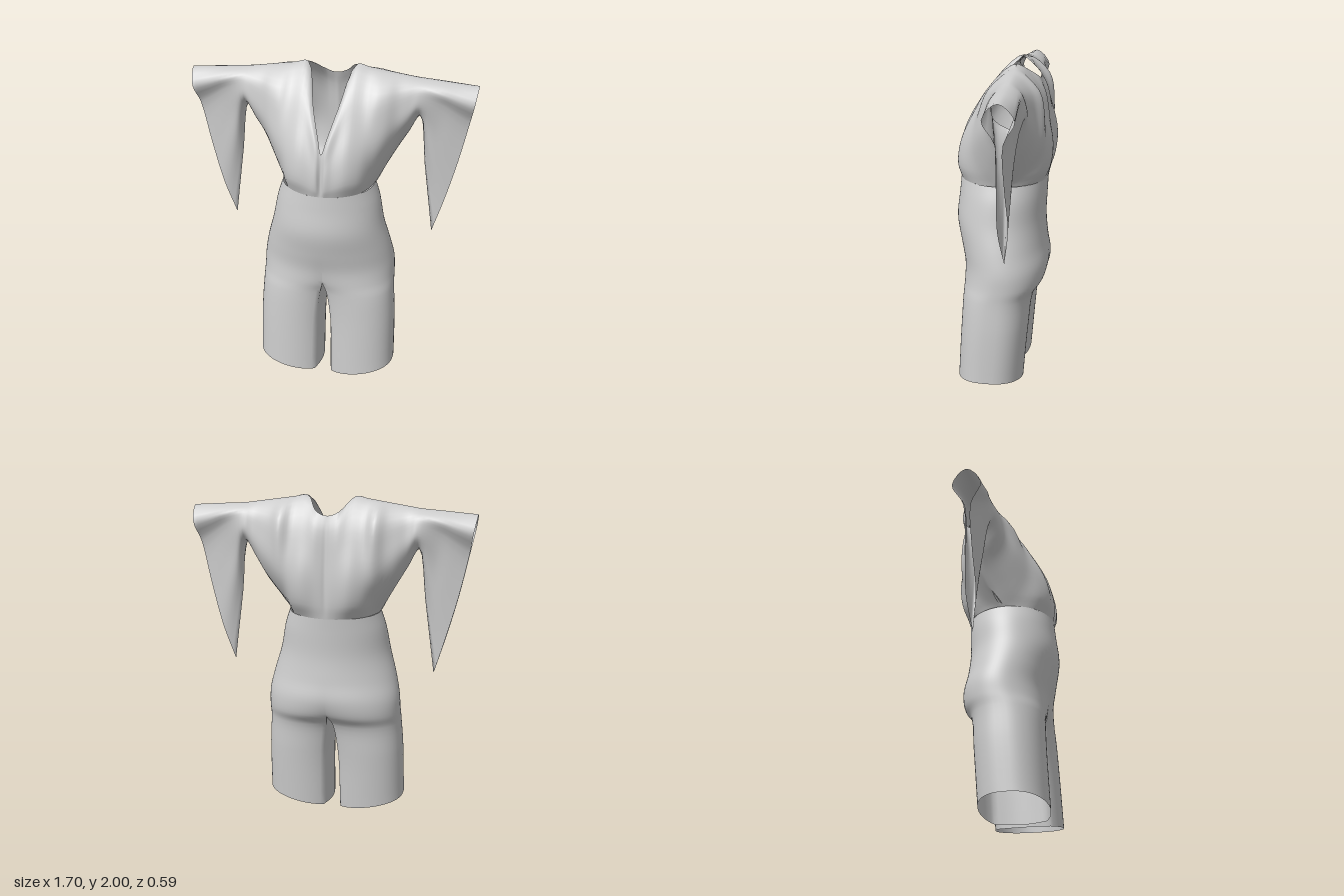
import * as THREE from 'three';
import { mergeGeometries, mergeVertices } from 'three/addons/utils/BufferGeometryUtils.js';

const V = (x, y, z) => new THREE.Vector3(x, y, z);
const lerp = THREE.MathUtils.lerp;

// Samples a smooth curve evenly between its control points
function smooth(points, perSegment) {
  const curve = new THREE.CatmullRomCurve3(points);
  const n = (points.length - 1) * perSegment;
  return Array.from({ length: n + 1 }, (_, i) => curve.getPoint(i / n));
}

// Surface through a list of sections that all have the same number of points
function loft(sections, perSegment) {
  const lines = sections[0].map((_, j) => smooth(sections.map(s => s[j]), perSegment));
  const rows = lines[0].length, cols = lines.length;
  const pos = [], idx = [];
  for (let i = 0; i < rows; i++) for (let j = 0; j < cols; j++) pos.push(...lines[j][i].toArray());
  for (let i = 0; i < rows - 1; i++) for (let j = 0; j < cols - 1; j++) {
    const a = i * cols + j, b = a + cols;
    idx.push(a, b, b + 1, a, b + 1, a + 1);
  }
  const g = new THREE.BufferGeometry();
  g.setAttribute('position', new THREE.Float32BufferAttribute(pos, 3));
  g.setIndex(idx);
  return g;
}

const flipX = p => V(-p.x, p.y, p.z);
const mirrorSections = sections => sections.map(s => s.map(flipX).reverse());

function sew(name, geometries, material) {
  const g = mergeVertices(mergeGeometries(geometries), 1e-4);
  g.computeVertexNormals();
  const mesh = new THREE.Mesh(g, material);
  mesh.name = name;
  return mesh;
}

// Neckline: x, front and back bulge, then edge height and depth at front and back
const NECK = [
  [0, .003, .025, 1.56, .24, 1.9, -.215],
  [.025, .035, .035, 1.64, .203, 1.903, -.213],
  [.07, .055, .055, 1.785, .115, 1.925, -.2],
];
// Shoulder to armpit: x, front and back bulge
const SHOULDER = [
  [.145, .125, .125], [.22, .125, .14], [.28, .18, .22], [.34, .17, .155],
  [.4, .14, .115], [.46, .118, .095], [.52, .1, .097],
];
// Bodice side profile: height and bulge fractions
const RISE = [0, .13, .35, .6, .85, 1];
const BULGE = [0, .6, 1, .97, .72, 0];
// Sleeve profile: height fractions, half depths near the arm and at the hem
const DRAPE = [0, .23, .5, .77, .905, 1];
const FOLD = [0, .06, .075, .088, .078, 0];
const CUFF = [0, .03, .02, .022, .087, 0];

// One side of the bodice at x, from its lower edge up to the given top edge
function panel(x, side, bulge, yTop, zTop) {
  const out = Math.max(0, x - .28);
  const yLow = 1.3 + 1.71 * out;
  const zLow = out > 0 ? -Math.min(.1, out) : side * .265 * Math.sqrt(1 - (x / .28) ** 2);
  return RISE.map((u, i) => V(x, lerp(yLow, yTop, u), lerp(zLow, zTop, u) + side * bulge * BULGE[i]));
}

// One side of the hanging sleeve, t = 0 at the armpit and 1 at the hem
function sleevePanel(t, side) {
  return DRAPE.map((u, i) => V(
    lerp(lerp(.52, .625, t), lerp(.52, .85, t), u) + .02 * t * Math.sin(Math.PI * u),
    lerp(lerp(1.71, .96, t), lerp(1.944, 1.92, t), u),
    -.088 + side * lerp(FOLD[i], CUFF[i], t)));
}

// Each section is a front half (going up) and a back half (going down)
function bodiceSections() {
  const neck = NECK.map(([x, front, back, yF, zF, yB, zB]) =>
    [smooth(panel(x, 1, front, yF, zF), 4), smooth(panel(x, -1, back, yB, zB).reverse(), 4)]);
  const closed = SHOULDER.map(([x, ...bulge]) =>
    [1, -1].map((side, i) => panel(x, side, bulge[i], 2 - .15 * (x - .145), -.09)));
  for (const t of [.4, .7, 1]) closed.push([sleevePanel(t, 1), sleevePanel(t, -1)]);
  return [...neck, ...closed.map(([front, back]) => {
    const whole = smooth([...front, ...back.slice(0, 5).reverse()], 4);
    return [whole.slice(0, 21), whole.slice(20)];
  })];
}

// Shorts rows: y, half width, front z, back z, leg roundness, inner gap
const SHORTS = [
  [1.3, .28, .265, -.265, 0, 0],
  [1.2, .313, .275, -.26, 0, 0],
  [1.05, .343, .29, -.255, 0, 0],
  [.9, .385, .265, -.268, 0, 0],
  [.78, .41, .237, -.28, .15, 0],
  [.68, .415, .23, -.255, .45, 0],
  [.6, .417, .23, -.2, .8, .02],
  [.4, .43, .24, -.175, 1, .045],
  [0, .437, .26, -.145, 1, .055],
];
const CROTCH = 5;
// The hem slants up towards the outside
const hemY = (y, x) => y === 0 ? .08 * x / .437 : y;

// Outer half section, from the front middle round the hip to the back middle
function hipSection([y, w, zf, zb, k, gap]) {
  const a0 = lerp(Math.PI / 2, Math.PI * .75, k), mid = (zf + zb) / 2, c0 = Math.cos(a0);
  return Array.from({ length: 41 }, (_, j) => {
    const a = lerp(a0, -a0, j / 40), s = Math.sin(a);
    const x = gap + (w - gap) * (Math.cos(a) - c0) / (1 - c0);
    const z = mid + (zf - zb) / 2 * Math.sign(s) * Math.abs(s) ** (1 - .2 * k);
    return V(x, hemY(y, x), z);
  });
}

// Inner leg wall, from the back edge to the front edge
function inseamSection(row) {
  const hip = hipSection(row), front = hip[0], back = hip[40];
  return Array.from({ length: 13 }, (_, j) => {
    const x = front.x * (1 - .5 * Math.sin(Math.PI * j / 12));
    return V(x, hemY(row[0], x), lerp(back.z, front.z, j / 12));
  });
}

export function createModel() {
  const group = new THREE.Group();
  group.name = 'playsuit';
  const cloth = new THREE.MeshStandardMaterial({ color: 0xcccccc, side: THREE.DoubleSide });

  // Bodice and sleeves, cuff to cuff, with the neckline left open
  const half = bodiceSections();
  const sheet = side => {
    const right = half.slice(1).reverse().map(s => s[side].map(flipX));
    return loft([...right, ...half.map(s => s[side])], 4);
  };
  group.add(sew('bodiceAndSleeves', [sheet(0), sheet(1)], cloth));

  // Hips and open legs
  const hips = SHORTS.map(hipSection);
  const inseam = SHORTS.slice(CROTCH).map(inseamSection);
  const pieces = [hips, inseam].flatMap(s => [loft(s, 5), loft(mirrorSections(s), 5)]);
  group.add(sew('hipsAndLegs', pieces, cloth));
  return group;
}
